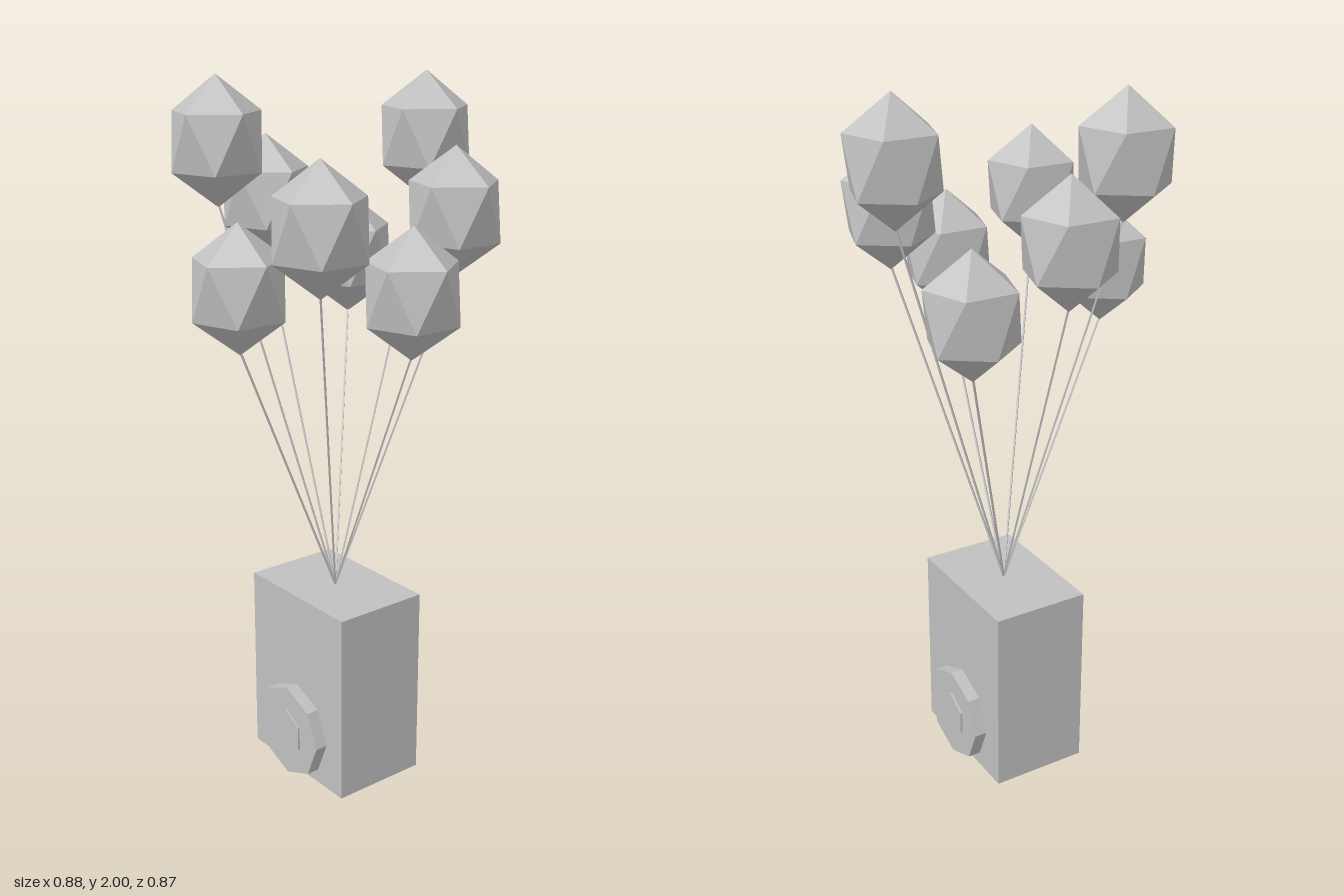
import * as THREE from 'three';

export function createModel() {
  const model = new THREE.Group();
  const grey = new THREE.MeshStandardMaterial({ color: 0xc0c0c0, flatShading: true });
  grey.name = 'plain grey';

  const add = (name, geometry, parent = model) => {
    const mesh = new THREE.Mesh(geometry, grey);
    mesh.name = name;
    parent.add(mesh);
    return mesh;
  };

  // Weight box
  add('box', new THREE.BoxGeometry(0.418, 0.562, 0.286)).position.y = 0.281;

  // Octagonal disc with a hexagonal hub, on front and back
  for (const side of [1, -1]) {
    const dial = new THREE.Group();
    dial.name = side > 0 ? 'frontDial' : 'backDial';
    add('disc', new THREE.CylinderGeometry(0.14, 0.14, 0.037, 8).rotateX(Math.PI / 2), dial)
      .position.z = side * 0.1615;
    add('hub', new THREE.CylinderGeometry(0.07, 0.07, 0.02, 6).rotateX(Math.PI / 2), dial)
      .position.z = side * 0.176;
    dial.position.y = 0.14;
    model.add(dial);
  }

  // Icosahedron standing on a vertex, stretched upwards
  const halfHeight = 0.174;
  const balloonShape = new THREE.IcosahedronGeometry(0.14, 0)
    .rotateZ(-Math.atan(2 / (1 + Math.sqrt(5))))
    .scale(1, halfHeight / 0.14, 1);

  // Ring of balloons at three heights, starting at +x and turning towards +z
  const knot = new THREE.Vector3(0, 0.56, 0);
  const up = new THREE.Vector3(0, 1, 0);
  const heights = [1.478, 1.652, 1.478, 1.826, 1.652, 1.478, 1.826, 1.652];
  heights.forEach((y, i) => {
    const angle = (i * Math.PI) / 4;
    const centre = new THREE.Vector3(Math.cos(angle) * 0.316, y, Math.sin(angle) * 0.316);
    add('balloon', balloonShape).position.copy(centre);

    // String from the knot to the bottom of the balloon
    const end = centre.clone();
    end.y -= halfHeight - 0.01;
    const span = end.clone().sub(knot);
    const string = add('string', new THREE.CylinderGeometry(0.0035, 0.0035, span.length(), 4));
    string.position.copy(knot).add(end).multiplyScalar(0.5);
    string.quaternion.setFromUnitVectors(up, span.normalize());
  });

  return model;
}
